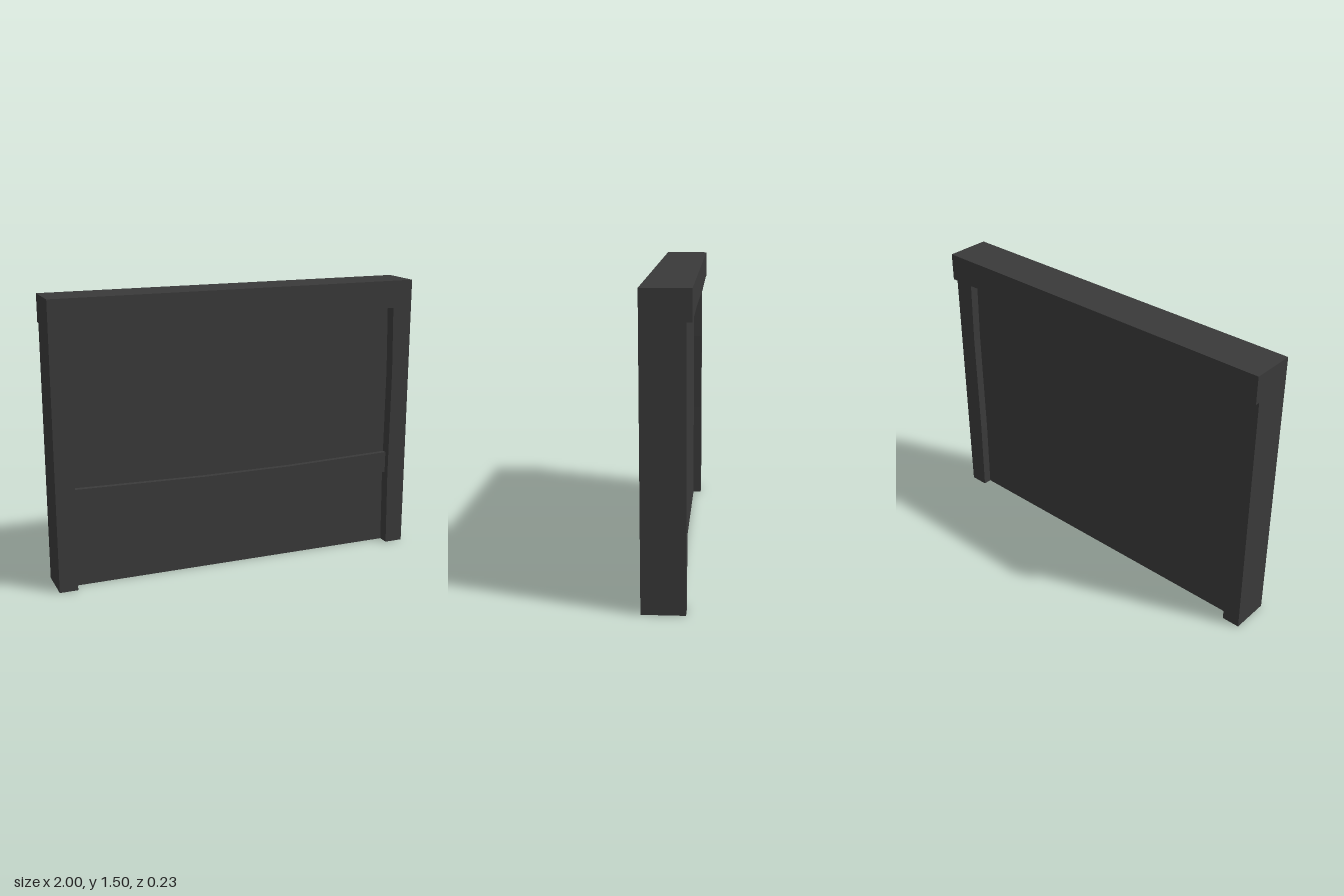
import * as THREE from 'three';

const material = new THREE.MeshStandardMaterial({ color: 0x3a3a3a, flatShading: true });

// Flat board: an outline in x/y, extruded between two depths
function board(name, outline, zBack, zFront) {
  const shape = new THREE.Shape(outline.map(([x, y]) => new THREE.Vector2(x, y)));
  const geometry = new THREE.ExtrudeGeometry(shape, { depth: zFront - zBack, bevelEnabled: false });
  geometry.translate(0, 0, zBack);
  const mesh = new THREE.Mesh(geometry, material);
  mesh.name = name;
  return mesh;
}

export function createModel() {
  const group = new THREE.Group();
  group.name = 'panelledHeadboard';

  // Thick top beam with a slightly uneven lower edge, overhanging at the back
  group.add(board('topBeam', [
    [-1, 1.355], [-0.9, 1.36], [-0.6, 1.353], [-0.3, 1.345], [0.1, 1.355],
    [0.5, 1.36], [0.9, 1.353], [1, 1.353], [1, 1.5], [-1, 1.5],
  ], -0.115, 0.12));

  // Side posts, each with its own hand-cut inner edge
  const innerEdges = {
    rightPost: [[-0.904, 0], [-0.9, 0.55], [-0.89, 1.0], [-0.9, 1.36]],
    leftPost: [[0.9, 0], [0.894, 0.4], [0.898, 1.0], [0.89, 1.36]],
  };
  for (const [name, edge] of Object.entries(innerEdges)) {
    const outer = Math.sign(edge[0][0]);
    group.add(board(name, [...edge, [outer, 1.36], [outer, 0]], -0.09, 0.12));
  }

  // Recessed panel filling the frame
  group.add(board('panel', [[-0.95, 0], [0.95, 0], [0.95, 1.4], [-0.95, 1.4]], -0.045, 0.06));

  // Sagging cross rail on the front of the panel
  group.add(board('crossRail', [
    [-0.92, 0.412], [-0.5, 0.402], [0.1, 0.398], [0.5, 0.402], [0.92, 0.413],
    [0.92, 0.53], [0.3, 0.515], [-0.2, 0.515], [-0.92, 0.53],
  ], 0.05, 0.088));

  return group;
}
